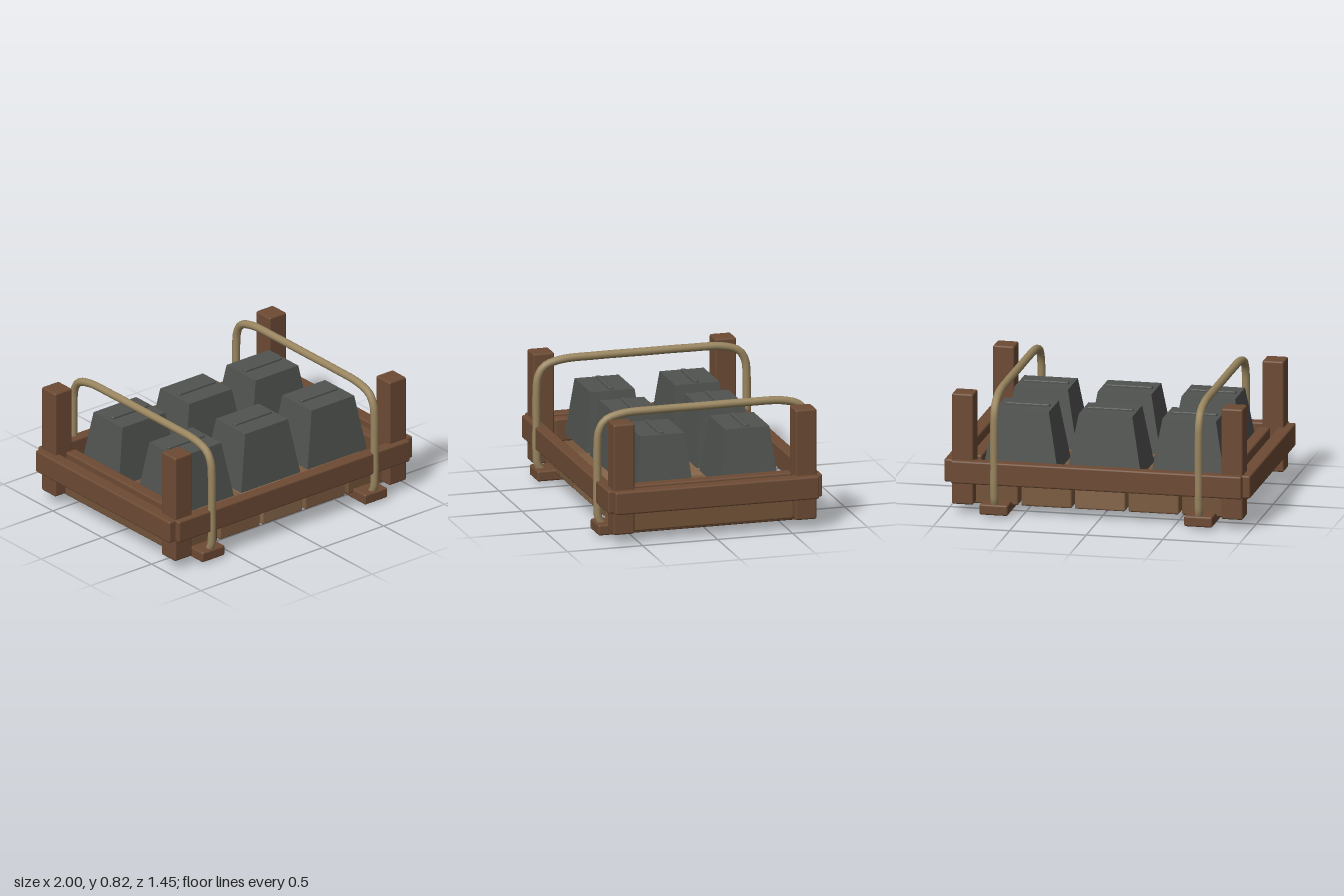
import * as THREE from 'three';
import { RoundedBoxGeometry } from 'three/addons/geometries/RoundedBoxGeometry.js';

const mat = (color, flatShading = false) => {
  const m = new THREE.MeshStandardMaterial({ flatShading });
  m.color.set(color);
  return m;
};

export function createModel() {
  const model = new THREE.Group();
  const wood = mat(0x6d4b34);
  const plankWood = [0x745439, 0x7c5c40, 0x85664a, 0x7c5c40, 0x745439].map((c) => mat(c));
  const stone = mat(0x505350, true);
  const rope = mat(0x9a8660);

  const add = (name, geometry, material) => {
    const mesh = new THREE.Mesh(geometry, material);
    mesh.name = name;
    model.add(mesh);
    return mesh;
  };
  // Bevelled timber given by its size and centre
  const timber = (name, [w, h, d], [x, y, z], material = wood) =>
    add(name, new RoundedBoxGeometry(w, h, d, 2, 0.012), material).position.set(x, y, z);

  // Floor planks
  for (let i = 0; i < 5; i++) {
    timber('floorPlank', [0.33, 0.145, 1.19], [(i - 2) * 0.35, 0.133, 0], plankWood[i]);
  }

  for (const s of [-1, 1]) {
    // Corner posts
    for (const t of [-1, 1]) timber('cornerPost', [0.14, 0.73, 0.14], [s * 0.88, 0.435, t * 0.607]);
    // Rails around the posts, with an inner rail on each side
    timber(s > 0 ? 'frontRail' : 'backRail', [1.9, 0.15, 0.08], [0, 0.29, s * 0.675]);
    timber('sideRail', [0.09, 0.15, 1.36], [s * 0.955, 0.29, 0]);
    timber('innerSideRail', [0.08, 0.15, 1.08], [s * 0.823, 0.29, 0]);
    // Skids under the floor
    timber('skid', [0.185, 0.07, 1.44], [s * 0.668, 0.055, 0]);

    // Rope loop wrapped around the frame and under the skid
    const half = [
      [0, 0.8], [0.3, 0.8], [0.54, 0.792], [0.65, 0.755], [0.69, 0.69], [0.7, 0.6],
      [0.701, 0.36], [0.701, 0.2], [0.69, 0.1], [0.65, 0.055], [0.52, 0.035], [0.3, 0.03], [0, 0.028],
    ];
    const loop = [...half, ...half.slice(1, -1).reverse().map(([z, y]) => [-z, y])];
    const path = new THREE.CatmullRomCurve3(loop.map(([z, y]) => new THREE.Vector3(s * 0.668, y, z)), true);
    add('ropeLoop', new THREE.TubeGeometry(path, 120, 0.026, 10, true), rope);
  }

  // Tapered stone blocks, each with a thin ridge on top
  const bottom = 0.265, top = 0.645;
  const block = new THREE.BoxGeometry(0.486, top - bottom, 0.382);
  const p = block.attributes.position;
  for (let i = 0; i < p.count; i++) {
    if (p.getY(i) > 0) p.setXYZ(i, p.getX(i) * 0.72, p.getY(i), p.getZ(i) * 0.77);
  }
  block.computeVertexNormals();
  for (const x of [-0.547, 0, 0.545]) {
    for (const z of [-0.283, 0.283]) {
      add('stoneBlock', block, stone).position.set(x, (bottom + top) / 2, z);
      add('stoneRidge', new RoundedBoxGeometry(0.3, 0.03, 0.034, 2, 0.008), stone).position.set(x, top, z);
    }
  }
  return model;
}
